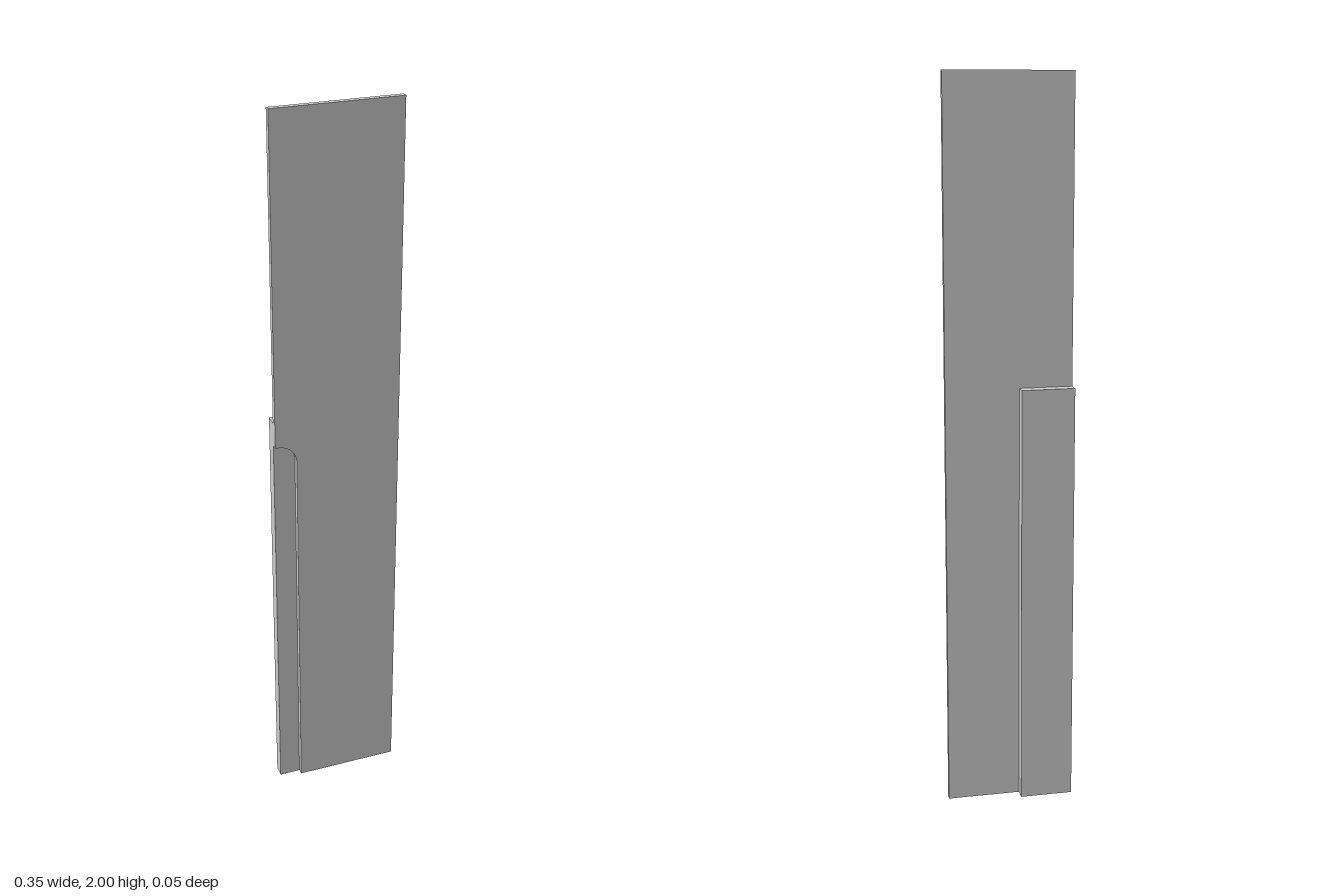
import * as THREE from 'three';

const HALF_W = 0.174;          // half width of the panel
const BACK = -0.024, JOINT = 0.008, FRONT = 0.024;

export function createModel() {
  const group = new THREE.Group();
  const material = new THREE.MeshStandardMaterial({ color: 0xcccccc, flatShading: true });

  // Tall thin panel with a round-cornered notch along its lower right edge
  const notchX = -0.115, notchY = 1.107, r = 0.052;
  const outline = new THREE.Shape();
  outline.moveTo(notchX, 0);
  outline.lineTo(HALF_W, 0);
  outline.lineTo(HALF_W, 2);
  outline.lineTo(-HALF_W, 2);
  outline.lineTo(-HALF_W, notchY);
  outline.lineTo(notchX - r, notchY);
  outline.absarc(notchX - r, notchY - r, r, Math.PI / 2, 0, true);
  outline.closePath();
  const panel = new THREE.Mesh(
    new THREE.ExtrudeGeometry(outline, { depth: FRONT - JOINT, bevelEnabled: false, curveSegments: 8 }),
    material
  );
  panel.name = 'panel';
  panel.position.z = JOINT;
  group.add(panel);

  // Backing strip behind the notch
  const stripRight = -0.028, stripH = 1.175;
  const strip = new THREE.Mesh(
    new THREE.BoxGeometry(stripRight + HALF_W, stripH, JOINT - BACK),
    material
  );
  strip.name = 'backingStrip';
  strip.position.set((stripRight - HALF_W) / 2, stripH / 2, (BACK + JOINT) / 2);
  group.add(strip);

  return group;
}
